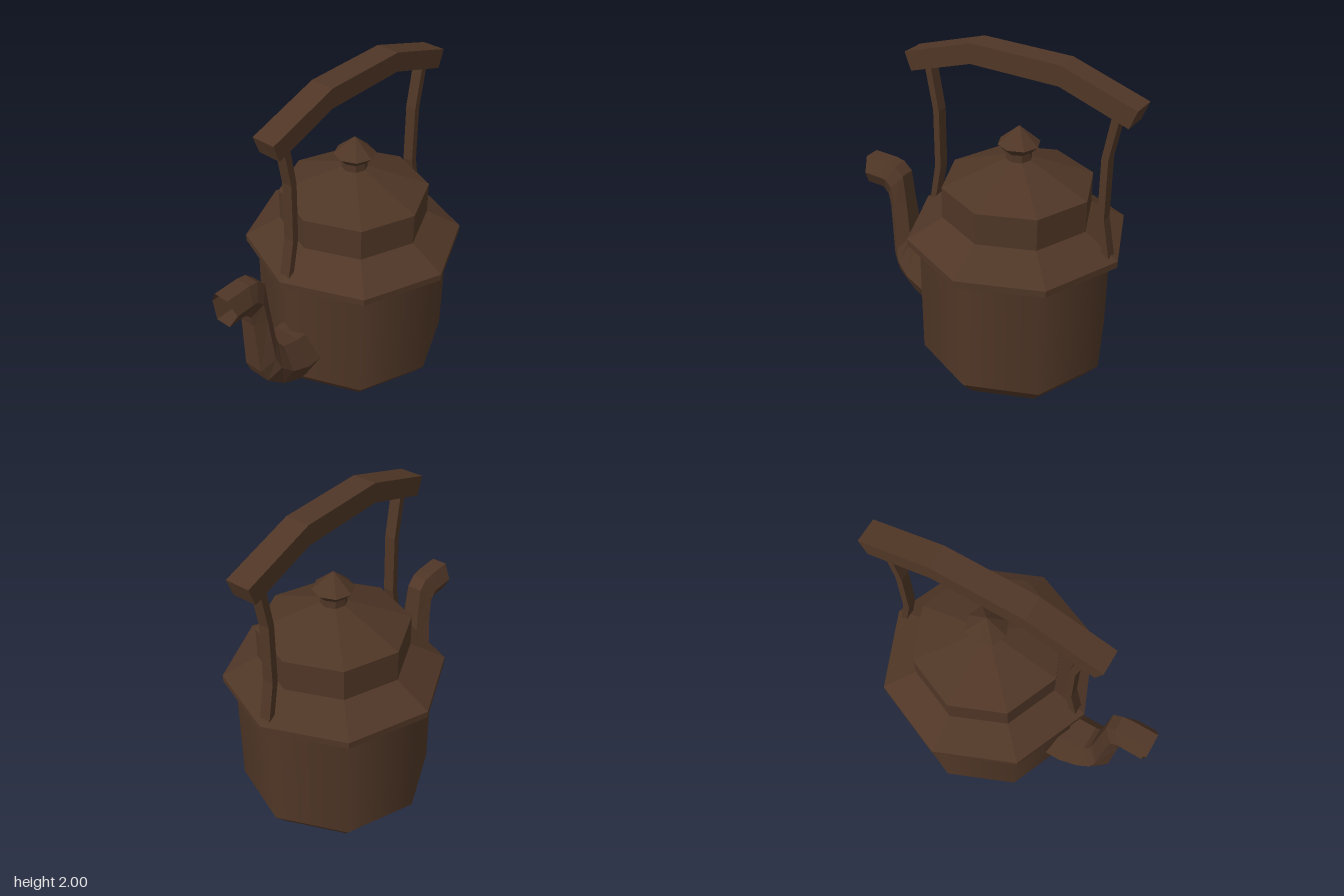
import * as THREE from 'three';

const CX = 0.18; // axis of the pot

export function createModel() {
  const group = new THREE.Group();
  const brown = new THREE.MeshStandardMaterial({ color: 0x4f3626, side: THREE.DoubleSide });
  brown.name = 'dark brown';

  const add = (name, geometry, x = 0, y = 0, z = 0) => {
    const mesh = new THREE.Mesh(geometry, brown);
    mesh.name = name;
    mesh.position.set(x, y, z);
    group.add(mesh);
  };
  // split the faces so every facet is flat
  const facet = (geometry) => {
    const g = geometry.index ? geometry.toNonIndexed() : geometry;
    g.computeVertexNormals();
    return g;
  };
  const turned = (points) =>
    facet(new THREE.LatheGeometry(points.map(([r, y]) => new THREE.Vector2(r, y)), 8));
  const slab = (outline, depth) => {
    const shape = new THREE.Shape(outline.map(([x, y]) => new THREE.Vector2(x, y)));
    return new THREE.ExtrudeGeometry(shape, { depth, bevelEnabled: false }).translate(0, 0, -depth / 2);
  };

  // pot: smooth wall, faceted base, rim and lid
  add('bodyWall', new THREE.CylinderGeometry(0.57, 0.57, 0.74, 8, 1, true), CX, 0.515);
  add('base', turned([[0, 0], [0.27, 0.005], [0.48, 0.035], [0.57, 0.145]]), CX);
  add('rim', turned([[0.56, 0.88], [0.64, 0.88], [0.64, 0.92], [0.435, 1.04]]), CX);
  add('lid', turned([[0.435, 1.04], [0.435, 1.23], [0.075, 1.375]]), CX);
  add('lidKnob', turned([[0.075, 1.365], [0.075, 1.42], [0.12, 1.465], [0, 1.57]]), CX);

  // spout: hexagonal rings given by upper edge, lower edge and half width
  const rings = [
    [-0.28, 0.50, -0.28, 0.175, 0.17],
    [-0.42, 0.505, -0.41, 0.175, 0.17],
    [-0.53, 0.53, -0.54, 0.235, 0.155],
    [-0.56, 0.57, -0.66, 0.345, 0.14],
    [-0.57, 0.62, -0.70, 0.44, 0.12],
    [-0.595, 0.85, -0.72, 0.80, 0.095],
    [-0.615, 1.03, -0.735, 0.87, 0.09],
    [-0.67, 1.08, -0.765, 0.905, 0.09],
    [-0.73, 1.09, -0.785, 0.912, 0.095],
    [-0.89, 1.09, -0.89, 0.912, 0.095],
  ];
  const positions = [];
  const index = [];
  rings.forEach(([tx, ty, bx, by, w], i) => {
    for (let k = 0; k < 6; k++) {
      const a = (k * Math.PI) / 3;
      const s = Math.sin(a) / Math.sin(Math.PI / 3) / 2;
      const notch = i === rings.length - 1 && k % 3 === 0 ? 0.02 : 0; // lip dips at the sides
      positions.push((tx + bx) / 2 + (tx - bx) * s + notch, (ty + by) / 2 + (ty - by) * s, w * Math.cos(a));
      if (i > 0) {
        const p = (i - 1) * 6 + k, q = (i - 1) * 6 + ((k + 1) % 6);
        index.push(p, q, q + 6, p, q + 6, p + 6);
      }
    }
  });
  const spout = new THREE.BufferGeometry();
  spout.setAttribute('position', new THREE.Float32BufferAttribute(positions, 3));
  spout.setIndex(index);
  add('spout', facet(spout));

  // handle: bent grip on two bowed uprights
  add('handleGrip', slab([
    [-0.53, 1.86], [-0.49, 1.755], [-0.09, 1.885], [0.45, 1.885],
    [0.85, 1.755], [0.89, 1.86], [0.45, 2.0], [-0.09, 2.0],
  ], 0.142));
  const upright = [
    [0.60, 0.93], [0.555, 1.17], [0.555, 1.53], [0.605, 1.80],
    [0.565, 1.82], [0.515, 1.53], [0.515, 1.17], [0.56, 0.94],
  ];
  for (const [name, side] of [['leftHandleUpright', 1], ['rightHandleUpright', -1]]) {
    add(name, slab(upright.map(([r, y]) => [CX + side * r, y]), 0.066));
  }
  return group;
}
